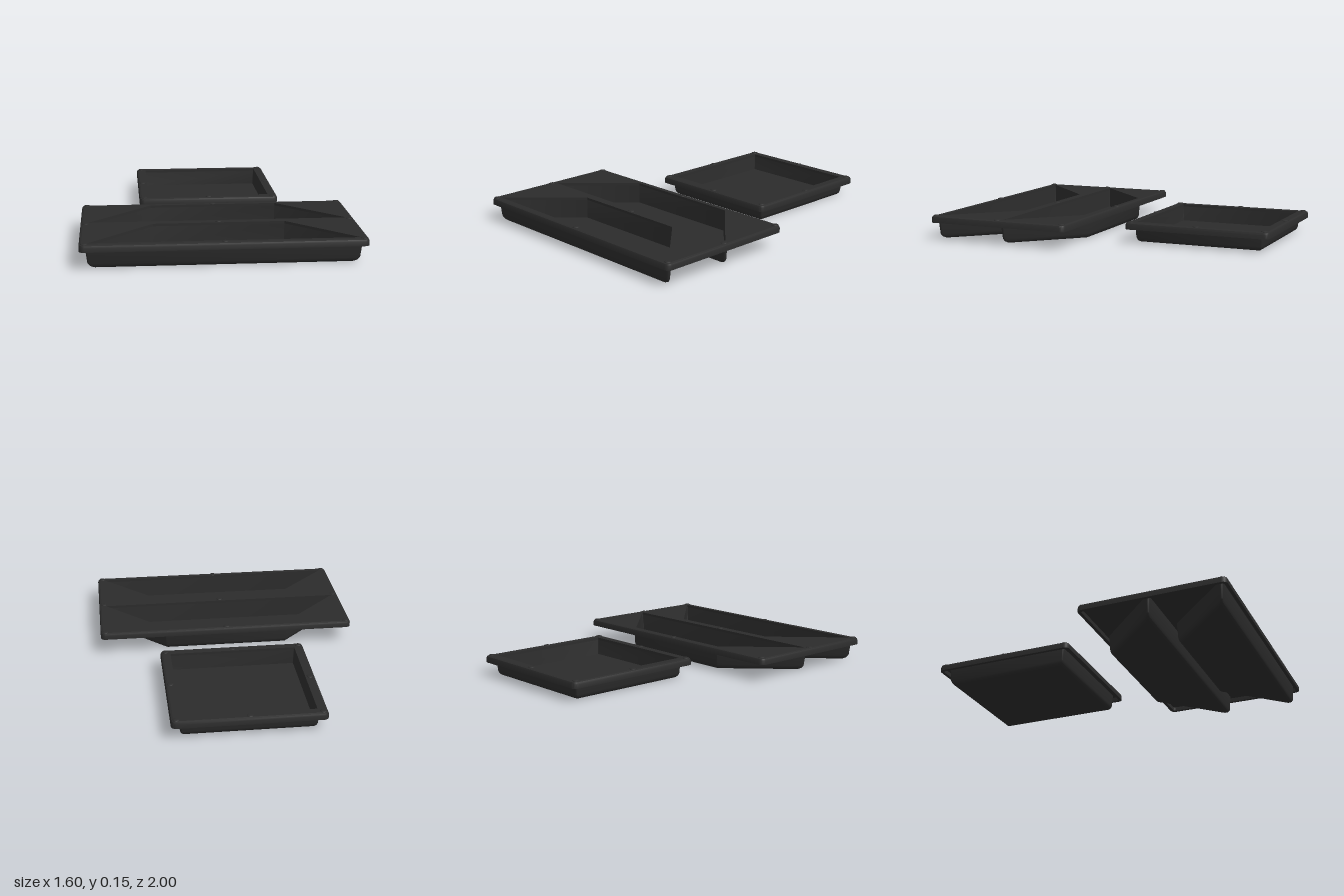
import * as THREE from 'three';
import { mergeVertices, toCreasedNormals } from 'three/addons/utils/BufferGeometryUtils.js';

// Convex outline (counter-clockwise, y = -z) moved outward by d, corners rounded by r
function outline(pts, d, r, steps = 5) {
  const n = pts.length, out = [];
  const dir = (i) => {
    const a = pts[(i + n) % n], b = pts[(i + 1 + n) % n];
    return new THREE.Vector2(b[0] - a[0], b[1] - a[1]).normalize();
  };
  for (let i = 0; i < n; i++) {
    const e0 = dir(i - 1), e1 = dir(i);
    const n0 = new THREE.Vector2(e0.y, -e0.x), n1 = new THREE.Vector2(e1.y, -e1.x);
    const turn = Math.acos(n0.dot(n1));
    const mid = n0.clone().add(n1).normalize();
    // Centre of the corner arc
    const c = new THREE.Vector2(...pts[i]).addScaledVector(mid, (d - r) / Math.cos(turn / 2));
    const start = Math.atan2(n0.y, n0.x);
    for (let k = 0; k <= steps; k++) {
      const a = start + turn * k / steps;
      out.push(new THREE.Vector2(c.x + r * Math.cos(a), c.y + r * Math.sin(a)));
    }
  }
  return out;
}

// Skin through sections [offset, height, radius], with an optional cap on the first or last
function loft(pts, sections, cap) {
  const pos = [], idx = [];
  const rings = sections.map(([d, , r]) => outline(pts, d, r));
  const m = rings[0].length;
  rings.forEach((ring, s) => ring.forEach((p) => pos.push(p.x, sections[s][1], -p.y)));
  for (let s = 0; s < rings.length - 1; s++) {
    for (let j = 0; j < m; j++) {
      const a = s * m + j, b = s * m + (j + 1) % m;
      idx.push(a, b, b + m, a, b + m, a + m);
    }
  }
  if (cap) {
    const base = cap === 'first' ? 0 : (rings.length - 1) * m;
    for (let j = 1; j < m - 1; j++) {
      if (cap === 'first') idx.push(base, base + j + 1, base + j);
      else idx.push(base, base + j, base + j + 1);
    }
  }
  const g = new THREE.BufferGeometry();
  g.setAttribute('position', new THREE.Float32BufferAttribute(pos, 3));
  g.setIndex(idx);
  return toCreasedNormals(mergeVertices(g), 0.6);
}

const rect = (x, z0, z1) => [[-x, -z1], [x, -z1], [x, -z0], [-x, -z0]];
const trapezoid = (xFront, xBack, z0, z1) => [[-xFront, -z1], [xFront, -z1], [xBack, -z0], [-xBack, -z0]];

export function createModel() {
  const model = new THREE.Group();
  model.name = 'trayInserts';
  const plastic = new THREE.MeshStandardMaterial({ color: 0x2c2c2c });
  plastic.name = 'blackPlastic';

  function tray(name, rim, wells, top, bumps) {
    const group = new THREE.Group();
    group.name = name;
    const add = (part, geometry) => {
      const mesh = new THREE.Mesh(geometry, plastic);
      mesh.name = part;
      group.add(mesh);
      return mesh;
    };

    // Top plate pierced by the wells
    const shape = new THREE.Shape(outline(rim, -0.015, 0.02));
    wells.forEach((w) => shape.holes.push(new THREE.Path(outline(w, 0, 0.003).reverse())));
    const plate = new THREE.ExtrudeGeometry(shape, { depth: 0.015, bevelEnabled: false });
    plate.rotateX(-Math.PI / 2).translate(0, top - 0.015, 0);
    add('topPlate', plate);

    // Hanging lip with a rounded upper edge
    add('rimLip', loft(rim, [
      [-0.02, top - 0.015, 0.015], [-0.02, top - 0.04, 0.015], [0, top - 0.04, 0.03],
      [0, top - 0.015, 0.03], [-0.0045, top - 0.0045, 0.026], [-0.015, top, 0.02],
    ]));

    // Each well: smooth outer shell and sharp inner basin
    wells.forEach((w) => {
      add('wellShell', loft(w, [
        [-0.022, 0, 0.008], [-0.009, 0.003, 0.009], [0, 0.012, 0.01],
        [0.006, 0.028, 0.011], [0.012, top - 0.015, 0.012],
      ], 'first'));
      add('wellBasin', loft(w, [[0, top - 0.015, 0.003], [-0.006, 0.014, 0.003]], 'last'));
    });

    // Small stacking bumps on the rim
    const dome = new THREE.SphereGeometry(0.02, 16, 5, 0, Math.PI * 2, 0, Math.PI / 2).scale(1, 0.28, 1);
    bumps.forEach(([x, z]) => add('rimBump', dome).position.set(x, top, z));
    model.add(group);
  }

  // Wide front tray with two trapezoid wells
  const sides = [-0.77, 0, 0.77];
  tray('doubleTray', rect(0.8, 0.105, 1),
    [trapezoid(0.755, 0.383, 0.148, 0.525), trapezoid(0.755, 0.383, 0.578, 0.955)], 0.142,
    sides.flatMap((x) => [[x, 0.132], [x, 0.552], [x, 0.972]]));

  // Square rear tray with one well
  const square = [];
  for (const x of [-0.412, 0, 0.412]) {
    for (const z of [-0.968, -0.556, -0.144]) if (x || z !== -0.556) square.push([x, z]);
  }
  tray('squareTray', rect(0.442, -1, -0.113), [rect(0.383, -0.94, -0.174)], 0.12, square);

  return model;
}
